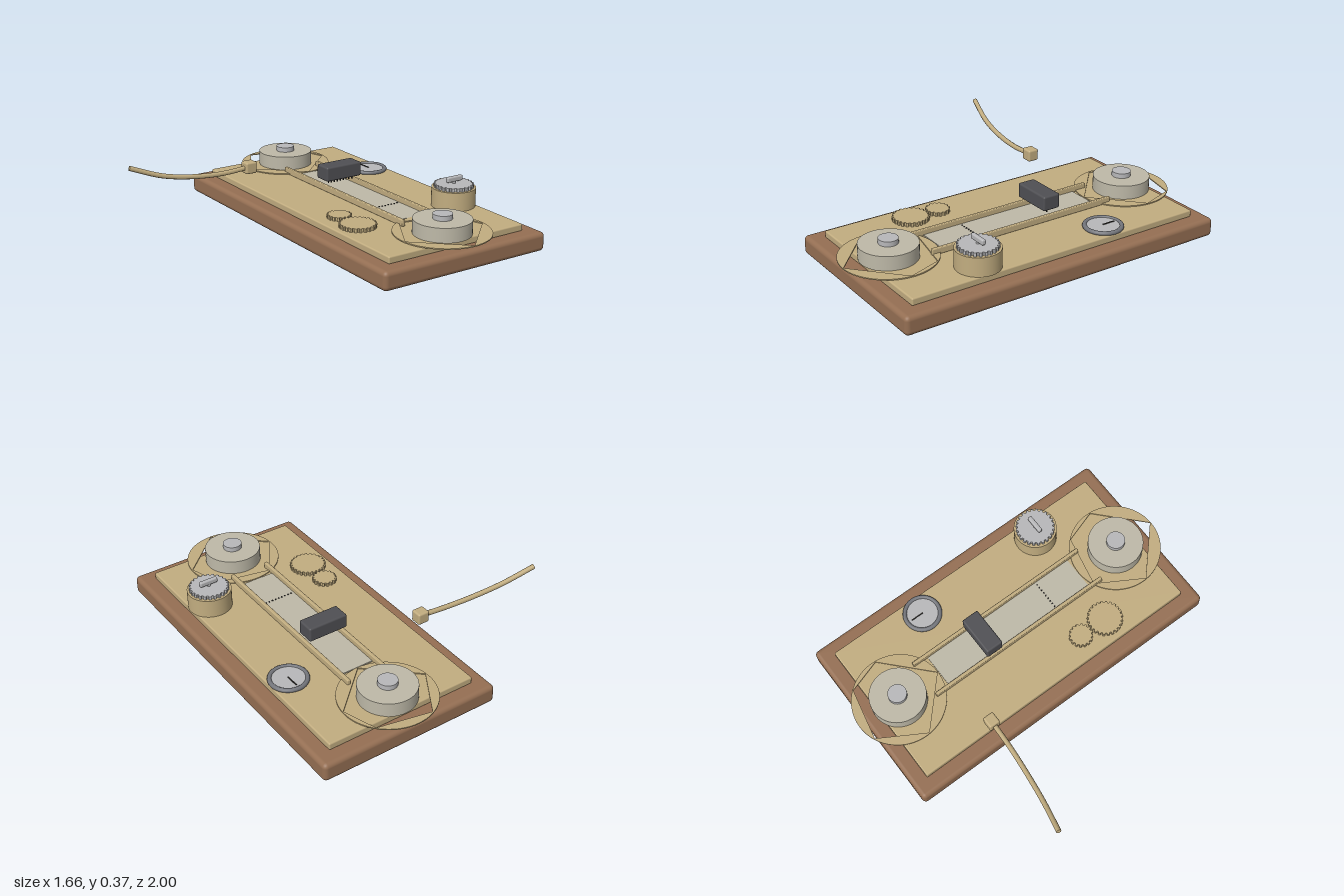
import * as THREE from 'three';
import { RoundedBoxGeometry } from 'three/addons/geometries/RoundedBoxGeometry.js';

export function createModel() {
  const model = new THREE.Group();
  const mat = (name, color, extra = {}) => {
    const m = new THREE.MeshStandardMaterial({ color, ...extra });
    m.name = name;
    return m;
  };
  const wood = mat('wood', 0x956f53);
  const brass = mat('brass', 0xc2ad80);
  const pale = mat('pale metal', 0xbeb9a8);
  const silver = mat('silver', 0xb8b8ba);
  const dark = mat('dark grey', 0x505054);
  const rim = mat('rim grey', 0x74767c);
  const black = mat('black', 0x2c2a28);

  const add = (name, geo, material, x, y, z, parent = model) => {
    const mesh = new THREE.Mesh(geo, material);
    mesh.name = name;
    mesh.position.set(x, y, z);
    parent.add(mesh);
    return mesh;
  };
  // Boxes and cylinders are placed by the height of their underside
  const box = (name, m, w, h, d, x, y, z, r = 0) =>
    add(name, r ? new RoundedBoxGeometry(w, h, d, 3, r) : new THREE.BoxGeometry(w, h, d), m, x, y + h / 2, z);
  const disc = (name, m, r, h, x, y, z, parent) =>
    add(name, new THREE.CylinderGeometry(r, r, h, 48), m, x, y + h / 2, z, parent);

  // Extrudes a flat outline upwards from height y
  const slab = (name, m, shape, h, x, y, z, parent) => {
    const geo = new THREE.ExtrudeGeometry(shape, { depth: h, bevelEnabled: false, curveSegments: 32 });
    geo.rotateX(-Math.PI / 2);
    return add(name, geo, m, x, y, z, parent);
  };
  const gearShape = (r, teeth, depth) => {
    const pts = [];
    for (let i = 0; i < teeth; i++) {
      for (const [t, d] of [[0, 0], [0.45, 0], [0.55, depth], [0.9, depth]]) {
        const a = ((i + t) / teeth) * Math.PI * 2;
        pts.push(new THREE.Vector2(Math.cos(a) * (r - d), Math.sin(a) * (r - d)));
      }
    }
    return new THREE.Shape(pts);
  };

  // Wooden base and deck plate
  box('woodenBase', wood, 1.04, 0.105, 1.91, 0.305, 0, 0, 0.025);
  box('deckPlate', brass, 0.87, 0.04, 1.74, 0.305, 0.102, 0, 0.008);

  // Two spools, each over a thin flange with a five-cornered opening
  for (const side of [-1, 1]) {
    const spool = new THREE.Group();
    spool.name = side < 0 ? 'rearSpool' : 'frontSpool';
    spool.position.set(0.305, 0, side * 0.742);
    model.add(spool);
    const flange = new THREE.Shape().absarc(0, 0, 0.258, 0, Math.PI * 2);
    const corners = [[0, -0.254], [0.252, -0.02], [0.19, 0.168], [-0.103, 0.23], [-0.252, -0.02]];
    flange.holes.push(new THREE.Path(corners.map(([x, y]) => new THREE.Vector2(x, y))));
    slab('spoolFlange', brass, flange, 0.006, 0, 0.145, 0, spool);
    disc('spoolBody', pale, 0.155, 0.08, 0, 0.14, 0, spool);
    disc('spoolHub', silver, 0.052, 0.03, 0, 0.217, 0, spool);
  }

  // Central strip between two rails
  box('strip', pale, 0.2, 0.008, 0.96, 0.307, 0.141, 0);
  for (const side of [-1, 1]) {
    box('rail', brass, 0.02, 0.036, 1.13, 0.307 + side * 0.108, 0.141, -0.005, 0.005);
  }

  // Reading head with a row of teeth, and a row of pins on the strip
  box('readingHead', dark, 0.232, 0.082, 0.102, 0.305, 0.2, -0.178, 0.01);
  for (let i = 0; i < 9; i++) {
    const x = 0.227 + i * 0.02;
    disc('headTooth', black, 0.004, 0.025, x, 0.178, -0.17);
    disc('stripPin', black, 0.0045, 0.003, x, 0.149, 0.255);
  }

  // Round gauge with a needle
  disc('gaugeFace', silver, 0.094, 0.012, 0.635, 0.141, -0.352);
  const ring = add('gaugeRim', new THREE.TorusGeometry(0.097, 0.012, 10, 48), rim, 0.635, 0.149, -0.352);
  ring.rotation.x = Math.PI / 2;
  box('gaugeNeedle', black, 0.006, 0.004, 0.075, 0.635, 0.153, -0.387);

  // Control knob with a toothed dial and grip
  disc('knobBody', brass, 0.12, 0.105, 0.635, 0.141, 0.43);
  slab('knobDial', silver, gearShape(0.108, 24, 0.01), 0.02, 0.635, 0.246, 0.43);
  disc('knobStem', silver, 0.01, 0.02, 0.635, 0.262, 0.43);
  box('knobGrip', silver, 0.105, 0.03, 0.024, 0.637, 0.275, 0.43, 0.008);

  // Pair of small gears
  slab('largeGear', brass, gearShape(0.1, 24, 0.01), 0.02, 0, 0.143, 0.43);
  slab('smallGear', brass, gearShape(0.067, 16, 0.009), 0.02, 0, 0.143, 0.263);

  // Curved lever with a block at its inner end
  const bend = new THREE.CatmullRomCurve3([
    [-0.13, 0.265, -0.437], [-0.3, 0.254, -0.443], [-0.48, 0.262, -0.461],
    [-0.65, 0.29, -0.487], [-0.825, 0.352, -0.527],
  ].map((p) => new THREE.Vector3(...p)));
  add('lever', new THREE.TubeGeometry(bend, 24, 0.014, 8), brass, 0, 0, 0);
  const tip = add('leverTip', new THREE.CircleGeometry(0.014, 8), brass, -0.825, 0.352, -0.527);
  tip.lookAt(bend.getPoint(1).add(bend.getTangent(1)));
  box('leverBlock', brass, 0.068, 0.066, 0.064, -0.13, 0.232, -0.438, 0.01);

  return model;
}
